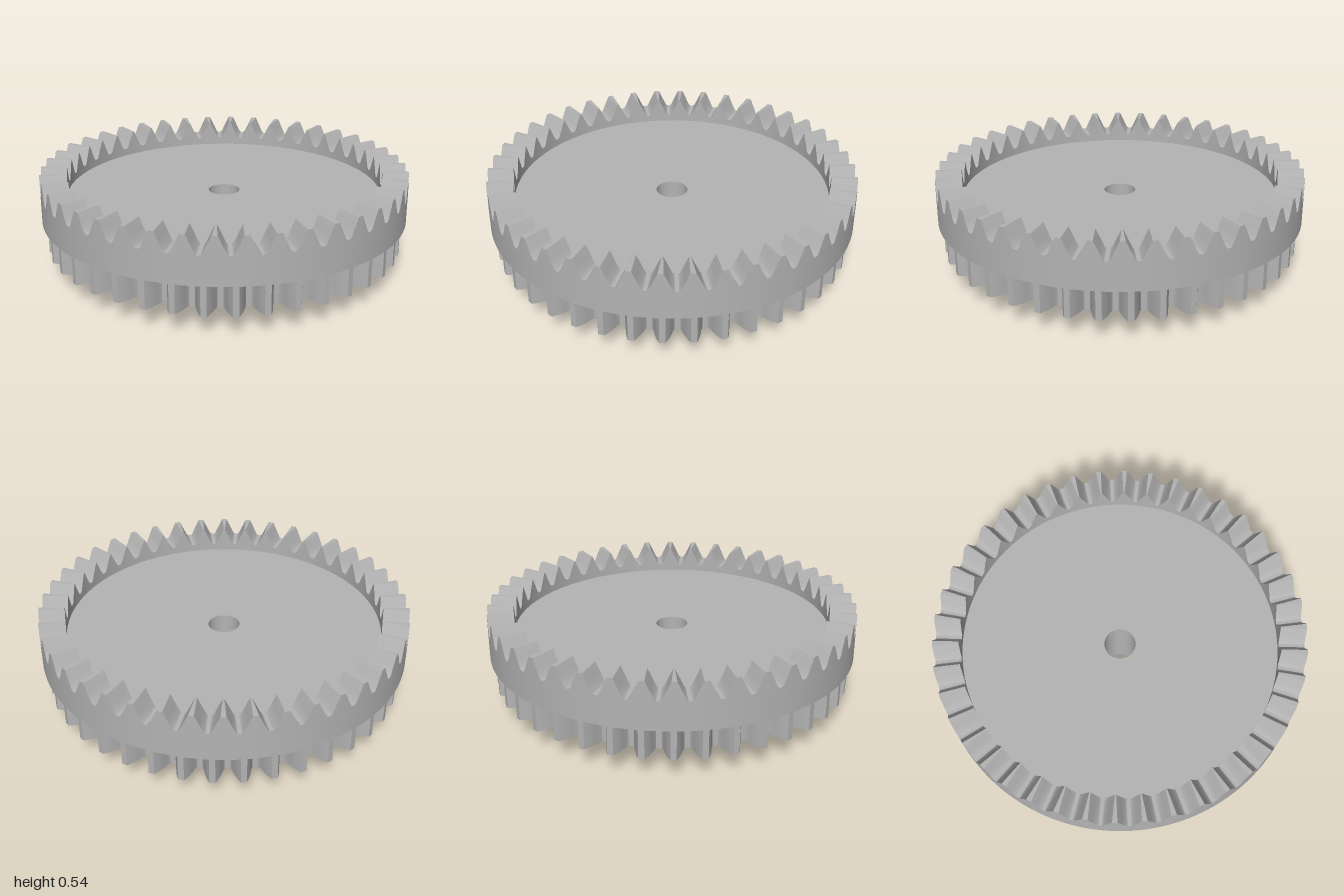
import * as THREE from 'three';
import { toCreasedNormals } from 'three/addons/utils/BufferGeometryUtils.js';

const CREASE = 0.5;
const BORE = 0.085;

// Ring whose upper edge is cut into radial teeth; the gaps keep a constant width.
function crownGeometry(teeth, rIn, rOut, yBottom, yFloor) {
  const gap = [[0, 0.44], [0.01, 0.441], [0.018, 0.449], [0.039, 0.494], [0.054, 0.526], [0.061, 0.54]];
  const profile = [...gap.slice(1).reverse().map(([u, y]) => [-u, y]), ...gap];
  const step = (Math.PI * 2) / teeth;
  const at = (r, a, y) => [r * Math.sin(a), y, r * Math.cos(a)];

  const sections = [];
  for (let k = 0; k < teeth; k++) {
    const mid = (k + 0.5) * step;
    for (const [u, y] of profile) {
      const aOut = mid + u / rOut;
      const aIn = mid + u / rIn;
      sections.push([
        at(rOut, aOut, yBottom), at(rOut, aOut, y),
        at(rIn, aIn, y), at(rIn, aIn, yFloor),
        at(rIn - 0.03, aIn, yBottom),
      ]);
    }
  }

  const positions = [];
  const quad = (a, b, c, d) => positions.push(...a, ...b, ...c, ...a, ...c, ...d);
  sections.forEach((s, i) => {
    const t = sections[(i + 1) % sections.length];
    quad(s[0], t[0], t[1], s[1]); // outer wall
    quad(s[1], t[1], t[2], s[2]); // tooth surface
    quad(s[2], t[2], t[3], s[3]); // inner wall
    quad(s[4], t[4], t[0], s[0]); // underside
  });
  const geometry = new THREE.BufferGeometry();
  geometry.setAttribute('position', new THREE.Float32BufferAttribute(positions, 3));
  return toCreasedNormals(geometry, CREASE);
}

// Flat gear with a gap on each axis and curved tooth flanks.
function spurGeometry(teeth, yBottom, yTop) {
  const flank = [[0.869, 0.054], [0.885, 0.047], [0.905, 0.0425], [0.927, 0.036], [0.95, 0.027], [0.973, 0.015]];
  const outline = [];
  for (let k = 0; k < teeth; k++) {
    const mid = ((k + 0.5) * Math.PI * 2) / teeth;
    const add = (r, w) => {
      const a = mid + w / r;
      outline.push(new THREE.Vector2(r * Math.cos(a), r * Math.sin(a)));
    };
    flank.forEach(([r, w]) => add(r, -w));
    [...flank].reverse().forEach(([r, w]) => add(r, w));
  }
  const shape = new THREE.Shape(outline);
  shape.holes.push(new THREE.Path().absarc(0, 0, 0.12, 0, Math.PI * 2, true));
  const geometry = new THREE.ExtrudeGeometry(shape, { depth: yTop - yBottom, bevelEnabled: false, curveSegments: 32 });
  geometry.rotateX(-Math.PI / 2);
  geometry.translate(0, yBottom, 0);
  return toCreasedNormals(geometry, CREASE);
}

export function createModel() {
  const group = new THREE.Group();
  const gray = new THREE.MeshStandardMaterial({ color: 0xb4b4b4 });
  gray.name = 'gray';

  const add = (name, geometry) => {
    const mesh = new THREE.Mesh(geometry, gray);
    mesh.name = name;
    group.add(mesh);
  };

  // Hub, thin neck and dished floor, with the bore running through
  const profile = [
    [BORE, 0], [0.145, 0], [0.145, 0.2], [0.845, 0.2], [0.845, 0.286],
    [0.863, 0.286], [0.863, 0.4], [BORE, 0.4], [BORE, 0],
  ].map(([r, y]) => new THREE.Vector2(r, y));
  add('hubAndDisc', toCreasedNormals(new THREE.LatheGeometry(profile, 96), CREASE));

  add('crownGear', crownGeometry(42, 0.86, 1, 0.285, 0.395));
  add('spurGear', spurGeometry(40, 0.115, 0.276));

  return group;
}
